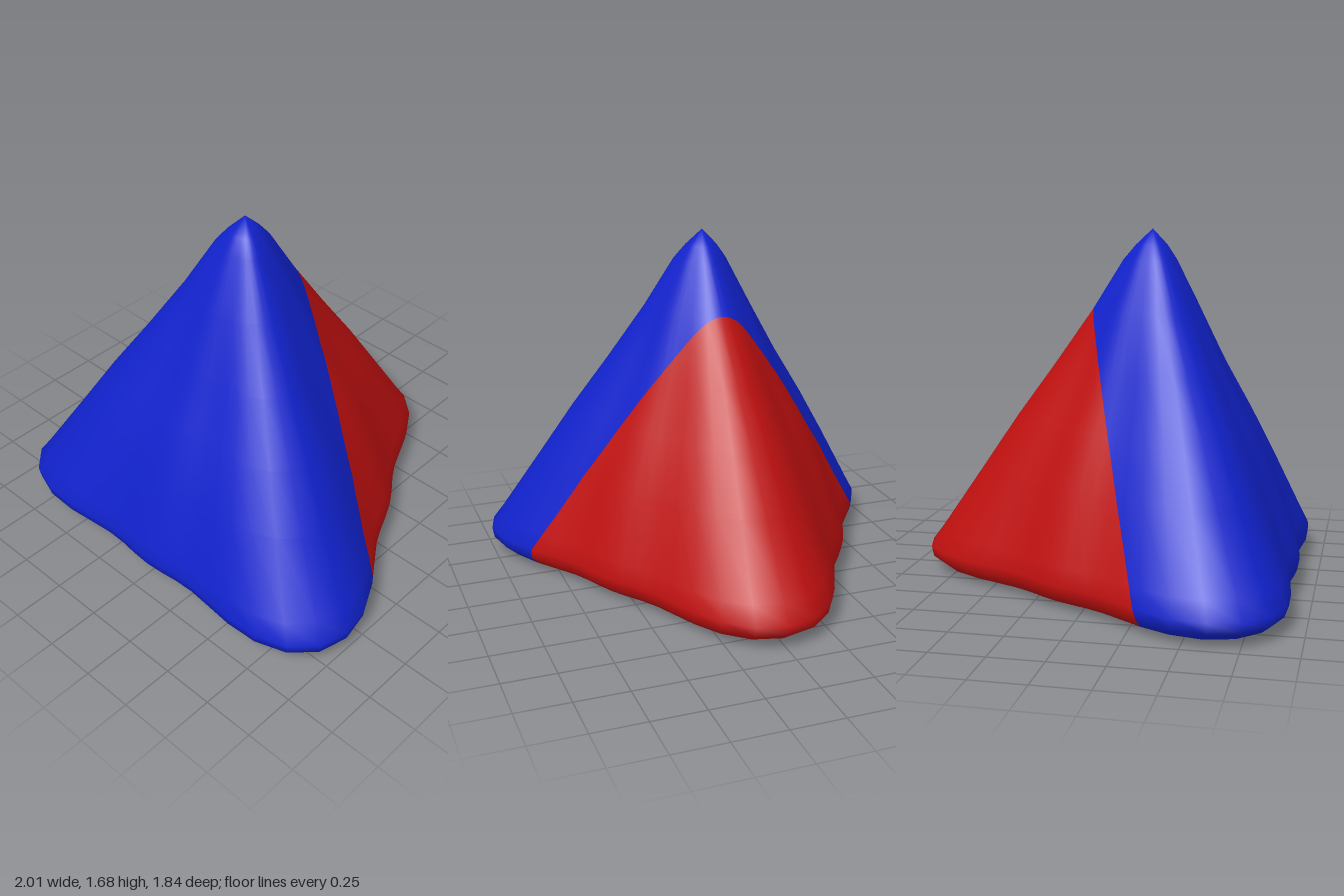
import * as THREE from 'three';
import { mergeVertices } from 'three/addons/utils/BufferGeometryUtils.js';

// Horizontal sections, top to bottom: height, radius at the corners, radius at the side middles
const SECTIONS = [
  [1.685, 0, 0], [1.61, 0.08, 0.07], [1.54, 0.14, 0.115], [1.3, 0.29, 0.235],
  [1.03, 0.48, 0.345], [0.77, 0.67, 0.475], [0.52, 0.84, 0.59], [0.2, 1.06, 0.7],
  [0.12, 1.12, 0.72], [0.07, 1.11, 0.71], [0.03, 1.05, 0.67], [0.01, 0.75, 0.58],
  [0, 0.3, 0.22], [0, 0, 0],
];
const AXIS_Z = 0.2;
const SIDES = 48;

// Softly rounded three-sided pyramid, lofted through the sections
function pyramidGeometry() {
  const pos = [], index = [];
  SECTIONS.forEach(([y, corner, middle], i) => {
    for (let j = 0; j < SIDES; j++) {
      const a = (j / SIDES) * Math.PI * 2;
      const s = ((1 - Math.cos(3 * a)) / 2) ** 2;
      const r = middle + (corner - middle) * s;
      pos.push(r * Math.sin(a), y, AXIS_Z + r * Math.cos(a));
      if (i === SECTIONS.length - 1) continue;
      const k = (j + 1) % SIDES, p = i * SIDES, q = p + SIDES;
      if (i < SECTIONS.length - 2) index.push(p + j, q + j, q + k);
      else index.push(p + j, q + j, p + k);
      if (i > 0 && i < SECTIONS.length - 2) index.push(p + j, q + k, p + k);
    }
  });
  const g = new THREE.BufferGeometry();
  g.setAttribute('position', new THREE.Float32BufferAttribute(pos, 3));
  g.setIndex(index);
  const merged = mergeVertices(g);
  merged.computeVertexNormals();
  return merged.toNonIndexed();
}

// Keeps the part of a geometry where side(point) > 0, preserving smooth normals
function clip(geometry, side) {
  const P = geometry.attributes.position, N = geometry.attributes.normal;
  const pos = [], nor = [];
  for (let t = 0; t < P.count; t += 3) {
    const tri = [0, 1, 2].map((k) => ({
      p: new THREE.Vector3().fromBufferAttribute(P, t + k),
      n: new THREE.Vector3().fromBufferAttribute(N, t + k),
    }));
    const out = [];
    tri.forEach((a, k) => {
      const b = tri[(k + 1) % 3], da = side(a.p), db = side(b.p);
      if (da >= 0) out.push(a);
      if (da * db < 0) {
        const f = da / (da - db);
        out.push({ p: a.p.clone().lerp(b.p, f), n: a.n.clone().lerp(b.n, f).normalize() });
      }
    });
    for (let k = 1; k + 1 < out.length; k++) {
      for (const v of [out[0], out[k], out[k + 1]]) {
        pos.push(...v.p.toArray());
        nor.push(...v.n.toArray());
      }
    }
  }
  const g = new THREE.BufferGeometry();
  g.setAttribute('position', new THREE.Float32BufferAttribute(pos, 3));
  g.setAttribute('normal', new THREE.Float32BufferAttribute(nor, 3));
  return g;
}

export function createModel() {
  const group = new THREE.Group();
  group.name = 'roundedPyramid';
  const body = pyramidGeometry();
  // Leaning plane where the two colours meet
  const split = (p) => p.z - (0.316 - 0.3 * p.y);
  const add = (name, color, side) => {
    const mesh = new THREE.Mesh(clip(body, side), new THREE.MeshStandardMaterial({ color }));
    mesh.name = name;
    group.add(mesh);
  };
  add('frontShell', 0x1122cc, split);
  add('backShell', 0xc01010, (p) => -split(p));
  return group;
}
